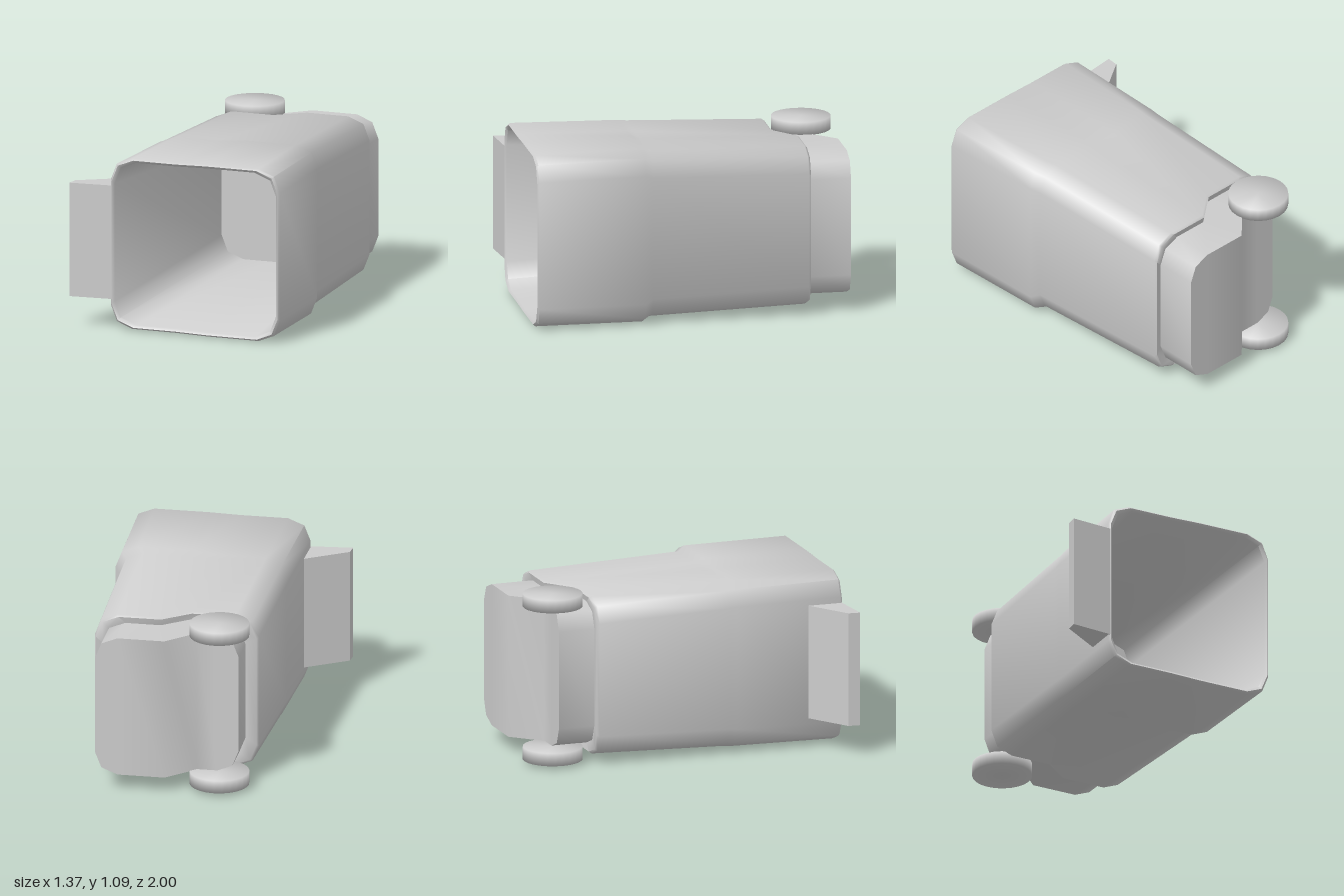
import * as THREE from 'three';
import { toCreasedNormals, mergeVertices } from 'three/addons/utils/BufferGeometryUtils.js';

const MID = 0.545; // height of the long axis
const material = new THREE.MeshStandardMaterial({ color: 0xcccccc, side: THREE.DoubleSide });

// Cut-corner cross-section; z steps from zl (left of ml) to zr (right of mr),
// half-height is hl on the left part and hr on the right part.
function section([zl, zr, xl, xr, hl, hr, ml, mr], c = 0.14) {
  const s = 0.04;
  const top = [
    [xl, hl - c], [xl + s, hl - s], [xl + c, hl], [ml, hl],
    [mr, hr], [xr - c, hr], [xr - s, hr - s], [xr, hr - c],
  ];
  const depth = (x) => zl + (zr - zl) * THREE.MathUtils.clamp((x - ml) / (mr - ml), 0, 1);
  const point = (x, y) => [x, MID + y, depth(x)];
  return [
    ...top.map(([x, y]) => point(x, y)),
    ...top.slice().reverse().map(([x, y]) => point(x, -y)),
  ];
}

// Skin between the sections, closed at both ends
function loft(rings) {
  const n = rings[0].length;
  const index = [];
  for (let j = 0; j < rings.length - 1; j++) {
    for (let i = 0; i < n; i++) {
      const k = (i + 1) % n;
      const a = j * n + i, b = j * n + k, c = a + n, d = b + n;
      index.push(a, c, b, b, c, d);
    }
  }
  const last = (rings.length - 1) * n;
  for (let i = 0; i < n / 2 - 1; i++) {
    const a = i, b = i + 1, c = n - 1 - i, d = n - 2 - i;
    index.push(a, b, c, b, d, c);
    index.push(last + a, last + c, last + b, last + b, last + c, last + d);
  }
  const g = new THREE.BufferGeometry();
  g.setAttribute('position', new THREE.Float32BufferAttribute(rings.flat(2), 3));
  g.setIndex(index);
  return toCreasedNormals(g, 1.05);
}

export function createModel() {
  const group = new THREE.Group();
  const add = (name, geometry) => {
    const mesh = new THREE.Mesh(geometry, material);
    mesh.name = name;
    group.add(mesh);
    return mesh;
  };

  // Hollow bin: stepped foot, shelf, tapered walls, collar, rim, inner walls, floor
  add('binBody', loft([
    [-0.82, -0.99, -0.31, 0.55, 0.445, 0.445, -0.05, 0.12],
    [-0.59, -0.725, -0.31, 0.55, 0.445, 0.445, 0.02, 0.19],
    [-0.6, -0.735, -0.38, 0.59, 0.485, 0.485, 0.02, 0.19],
    [-0.585, -0.72, -0.392, 0.6, 0.495, 0.495, 0.02, 0.19],
    [0.25, 0.25, -0.41, 0.625, 0.52, 0.52, 0, 0.2],
    [0.3, 0.3, -0.412, 0.66, 0.525, 0.543, 0, 0.2],
    [0.965, 0.965, -0.428, 0.68, 0.533, 0.538, 0, 0.2],
    [0.978, 0.978, -0.418, 0.67, 0.523, 0.528, 0, 0.2],
    [0.965, 0.965, -0.402, 0.655, 0.508, 0.513, 0, 0.2],
    [-0.57, -0.57, -0.31, 0.56, 0.42, 0.42, 0, 0.2],
  ].map((s) => section(s))));

  // Wedge handle beside the opening, drawn as (x, -z) and extruded upwards
  const wedge = new THREE.Shape([
    [-0.415, -0.755], [-0.678, -0.925], [-0.685, -0.998], [-0.415, -0.975],
  ].map(([x, y]) => new THREE.Vector2(x, y)));
  const handle = new THREE.ExtrudeGeometry(wedge, { depth: 0.71, bevelEnabled: false });
  handle.rotateX(-Math.PI / 2);
  add('handle', handle).position.y = 0.19;

  // Pair of softly shaded wheels
  let wheel = new THREE.CylinderGeometry(0.183, 0.183, 0.08, 24);
  wheel.deleteAttribute('uv');
  wheel.deleteAttribute('normal');
  wheel = mergeVertices(wheel);
  wheel.computeVertexNormals();
  for (const [name, side] of [['upperWheel', 1], ['lowerWheel', -1]]) {
    add(name, wheel).position.set(-0.19, MID + side * 0.482, -0.817);
  }

  return group;
}
